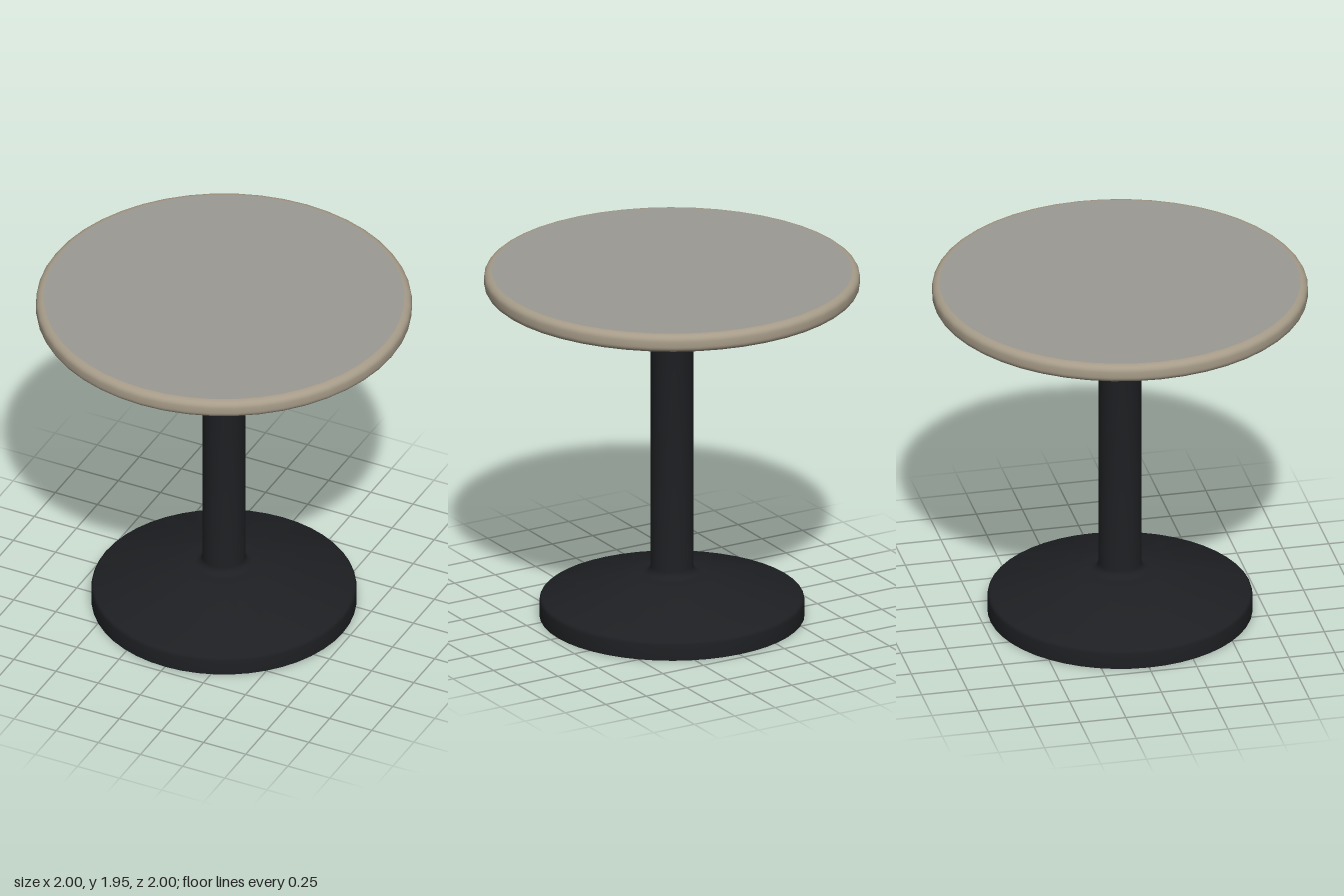
import * as THREE from 'three';
import { toCreasedNormals } from 'three/addons/utils/BufferGeometryUtils.js';

const SEGMENTS = 48;

const finish = (color) => new THREE.MeshStandardMaterial({ color });

// Quarter-round profile points about (cx, cy), from angle a to angle b in degrees
function arc(cx, cy, rx, ry, a, b, steps = 5) {
  return Array.from({ length: steps + 1 }, (_, i) => {
    const t = THREE.MathUtils.degToRad(a + ((b - a) * i) / steps);
    return [cx + rx * Math.cos(t), cy + ry * Math.sin(t)];
  });
}

// Turned part from a [radius, height] profile running bottom to top
function turned(name, profile, material) {
  const points = profile.map(([r, y]) => new THREE.Vector2(r, y));
  const geometry = toCreasedNormals(new THREE.LatheGeometry(points, SEGMENTS), 0.55);
  const mesh = new THREE.Mesh(geometry, material);
  mesh.name = name;
  return mesh;
}

export function createModel() {
  const group = new THREE.Group();
  group.name = 'pedestalTable';
  const black = finish(0x1d1f22);
  const surface = finish(0x9c9a94);
  const edge = finish(0xa79c89);

  // Weighted foot: upright rim, eased shoulder, shallow cone
  group.add(turned('base', [
    [0, 0], [0.705, 0], [0.705, 0.085],
    ...arc(0.68, 0.085, 0.025, 0.025, 30, 75, 3),
    [0.23, 0.236], [0.2, 0.24], [0.1, 0.243],
  ], black));

  // Column with a concave fillet at the foot and a flare under the top
  group.add(turned('column', [
    ...arc(0.155, 0.283, 0.04, 0.04, 270, 180),
    ...arc(0.165, 1.8, 0.05, 0.05, 180, 90),
  ], black));

  // Round top: underside, rounded edge band, upper surface
  group.add(turned('tabletopUnderside', [[0, 1.85], [0.96, 1.85]], surface));
  group.add(turned('tabletopEdge', [
    ...arc(0.96, 1.885, 0.04, 0.035, -90, 0),
    ...arc(0.96, 1.915, 0.04, 0.035, 0, 90),
  ], edge));
  group.add(turned('tabletopSurface', [[0.96, 1.95], [0, 1.95]], surface));

  return group;
}
